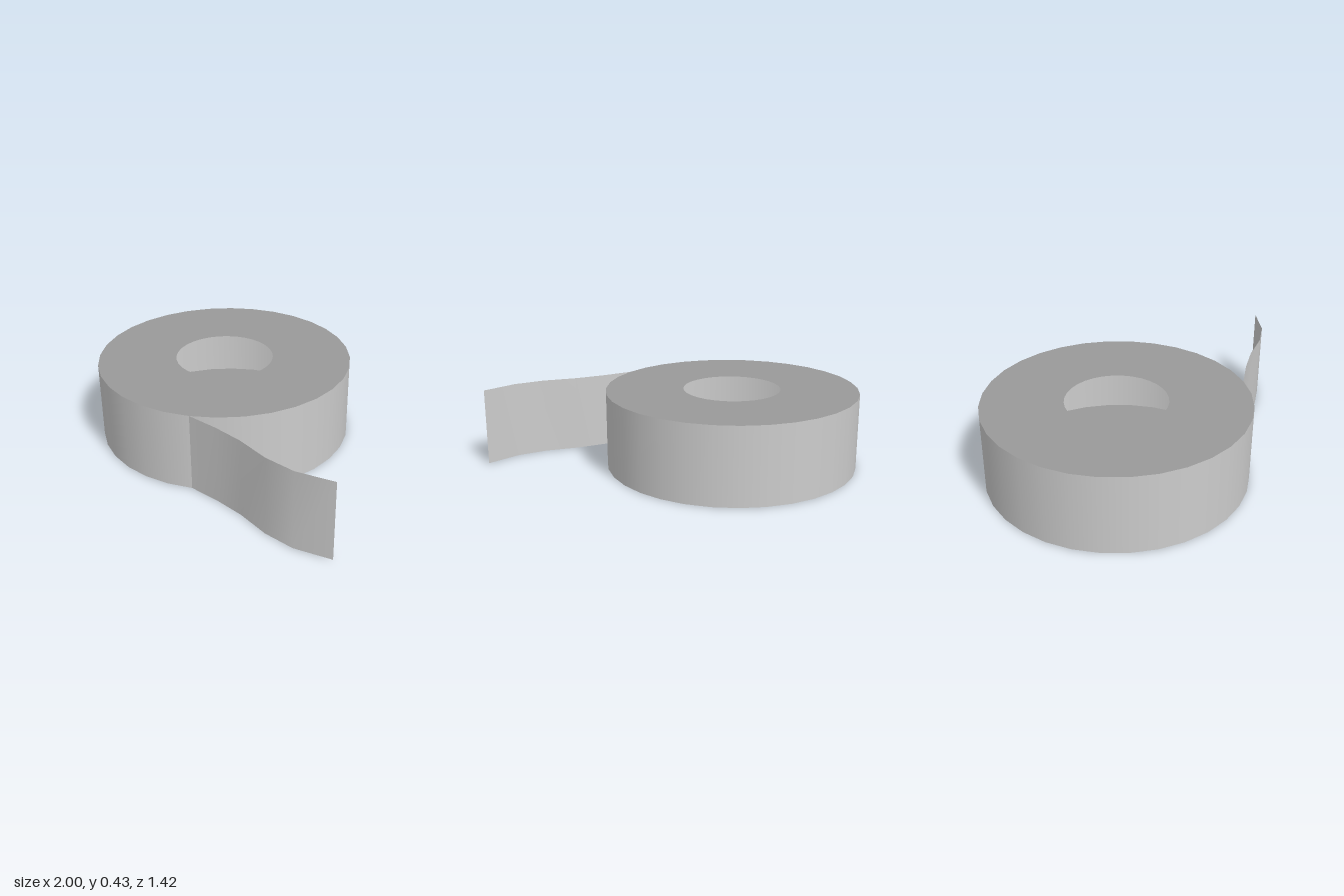
import * as THREE from 'three';

const CENTRE_X = -0.292, OUTER = 0.708, INNER = 0.273, HEIGHT = 0.43, SIDES = 32;

function material(name, color) {
  const m = new THREE.MeshStandardMaterial({ color, side: THREE.DoubleSide });
  m.name = name;
  return m;
}

export function createModel() {
  const tapeGrey = material('light tape grey', 0xcccccc);
  const faceGrey = material('roll face grey', 0x999999);
  const model = new THREE.Group();
  model.name = 'tapeRoll';

  const add = (name, geometry, mat, x = 0, y = 0) => {
    const mesh = new THREE.Mesh(geometry, mat);
    mesh.name = name;
    mesh.position.set(x, y, 0);
    model.add(mesh);
  };

  // Outer winding: an open band, hollow behind the two ring faces
  add('outerWinding', new THREE.CylinderGeometry(OUTER, OUTER, HEIGHT, SIDES, 1, true),
    tapeGrey, CENTRE_X, HEIGHT / 2);

  // Flat ring faces, each facing outward
  const ring = (direction) =>
    new THREE.RingGeometry(INNER, OUTER, SIDES).rotateX(-direction * Math.PI / 2);
  add('topFace', ring(1), faceGrey, CENTRE_X, HEIGHT);
  add('bottomFace', ring(-1), faceGrey, CENTRE_X, 0);

  // Loose end: a plane bent along a wavy path of x, z points
  const path = [[0.101, 0.589], [0.28, 0.57], [0.45, 0.566], [0.64, 0.585], [0.81, 0.57], [1, 0.497]];
  const tail = new THREE.PlaneGeometry(1, HEIGHT, path.length - 1, 1);
  const pos = tail.attributes.position;
  for (let i = 0; i < pos.count; i++) {
    const [x, z] = path[i % path.length];
    pos.setXYZ(i, x, pos.getY(i), z);
  }
  tail.computeVertexNormals();
  add('looseEnd', tail, tapeGrey, 0, HEIGHT / 2);

  return model;
}
